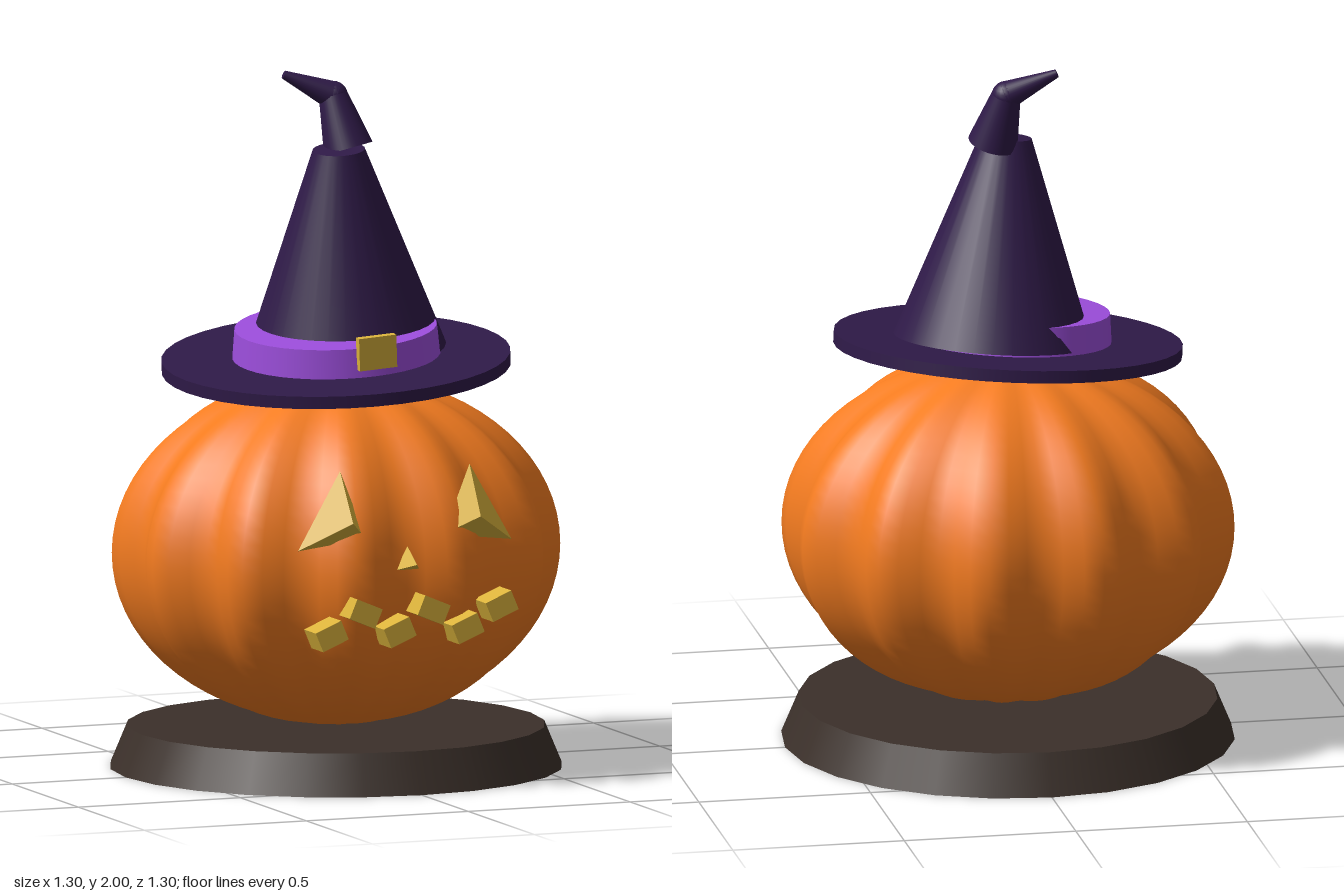
import * as THREE from 'three';
import { ConvexGeometry } from 'three/addons/geometries/ConvexGeometry.js';

const V = (x, y, z) => new THREE.Vector3(x, y, z);
const material = (color) => new THREE.MeshStandardMaterial({ color });

export function createModel() {
  const model = new THREE.Group();
  const orange = material(0xf57c20);
  const darkPurple = material(0x2f1a48);
  const violet = material(0x9d4edd);
  const gold = material(0xdcb43c);
  const brown = material(0x3b302a);
  const green = material(0x4a5d23);

  function add(name, geometry, mat, x = 0, y = 0, z = 0, parent = model) {
    const mesh = new THREE.Mesh(geometry, mat);
    mesh.name = name;
    mesh.position.set(x, y, z);
    parent.add(mesh);
    return mesh;
  }

  // Tapered round segment running from point a to point b
  function taper(name, a, b, ra, rb, mat, parent) {
    const dir = b.clone().sub(a);
    const mid = a.clone().add(b).multiplyScalar(0.5);
    const mesh = add(name, new THREE.CylinderGeometry(rb, ra, dir.length(), 32), mat, mid.x, mid.y, mid.z, parent);
    mesh.quaternion.setFromUnitVectors(V(0, 1, 0), dir.normalize());
    return mesh;
  }

  // Base plinth
  add('base', new THREE.CylinderGeometry(0.6, 0.65, 0.12, 24), brown, 0, 0.06, 0);

  // Pumpkin: a sphere pressed into twelve ribs, wider than deep
  const pumpkin = new THREE.SphereGeometry(1, 72, 36);
  const pos = pumpkin.attributes.position;
  for (let i = 0; i < pos.count; i++) {
    const x = pos.getX(i), z = pos.getZ(i);
    const r = 0.567 - 0.028 * Math.cos(12 * Math.atan2(x, z));
    pos.setXYZ(i, x * r * 1.096, pos.getY(i) * 0.503, z * r);
  }
  pumpkin.computeVertexNormals();
  // Join the shading across the seam
  const nor = pumpkin.attributes.normal;
  for (let row = 0; row <= 36; row++) {
    const a = row * 73, b = a + 72;
    const n = V(0, 0, 0).fromBufferAttribute(nor, a).add(V(0, 0, 0).fromBufferAttribute(nor, b)).normalize();
    nor.setXYZ(a, n.x, n.y, n.z);
    nor.setXYZ(b, n.x, n.y, n.z);
  }
  add('pumpkin', pumpkin, orange, 0, 0.628, 0);
  add('stem', new THREE.CylinderGeometry(0.03, 0.045, 0.1, 12), green, 0, 1.13, 0);

  // Face: three-sided pyramids for the eyes and nose
  for (const s of [-1, 1]) {
    add(s > 0 ? 'leftEye' : 'rightEye', new ConvexGeometry([
      V(s * 0.2, 0.93, 0.52), V(s * 0.33, 0.705, 0.52), V(s * 0.12, 0.73, 0.52), V(s * 0.197, 0.79, 0.613),
    ]), gold);
  }
  add('nose', new ConvexGeometry([
    V(0, 0.705, 0.54), V(-0.037, 0.637, 0.54), V(0.037, 0.637, 0.54), V(0, 0.66, 0.613),
  ]), gold);

  // Zigzag row of teeth
  const teeth = new THREE.Group();
  teeth.name = 'teeth';
  model.add(teeth);
  for (let i = 0; i < 6; i++) {
    const high = i % 2 === 1;
    const tooth = add('tooth', new THREE.BoxGeometry(0.085, 0.06, 0.09), gold,
      (i - 2.5) * 0.105, high ? 0.527 : 0.468, 0.57, teeth);
    tooth.rotation.z = high && i < 5 ? -0.4 : 0.4;
  }

  // Hat, tipped forward and to one side
  const hat = new THREE.Group();
  hat.name = 'hat';
  model.add(hat);
  const tilt = (mesh) => mesh.rotation.set(0.08, 0, 0.065);
  tilt(add('hatBrim', new THREE.CylinderGeometry(0.5, 0.5, 0.036, 40), darkPurple, 0, 1.168, 0, hat));
  tilt(add('hatBand', new THREE.CylinderGeometry(0.29, 0.3, 0.1, 40), violet, 0, 1.22, 0, hat));
  tilt(add('hatBuckle', new THREE.BoxGeometry(0.115, 0.095, 0.024), gold, 0.003, 1.233, 0.3, hat));
  taper('hatCrown', V(0.055, 1.2, -0.055), V(0.006, 1.78, 0.006), 0.285, 0.075, darkPurple, hat);

  // Crooked tip in two bent lengths
  const knee = V(0.018, 1.925, -0.065);
  taper('hatTipLower', V(0.05, 1.775, -0.03), knee, 0.072, 0.042, darkPurple, hat);
  taper('hatTipUpper', knee, V(-0.125, 1.99, -0.09), 0.042, 0.012, darkPurple, hat);
  add('hatTipKnee', new THREE.SphereGeometry(0.042, 20, 12), darkPurple, knee.x, knee.y, knee.z, hat);

  return model;
}
